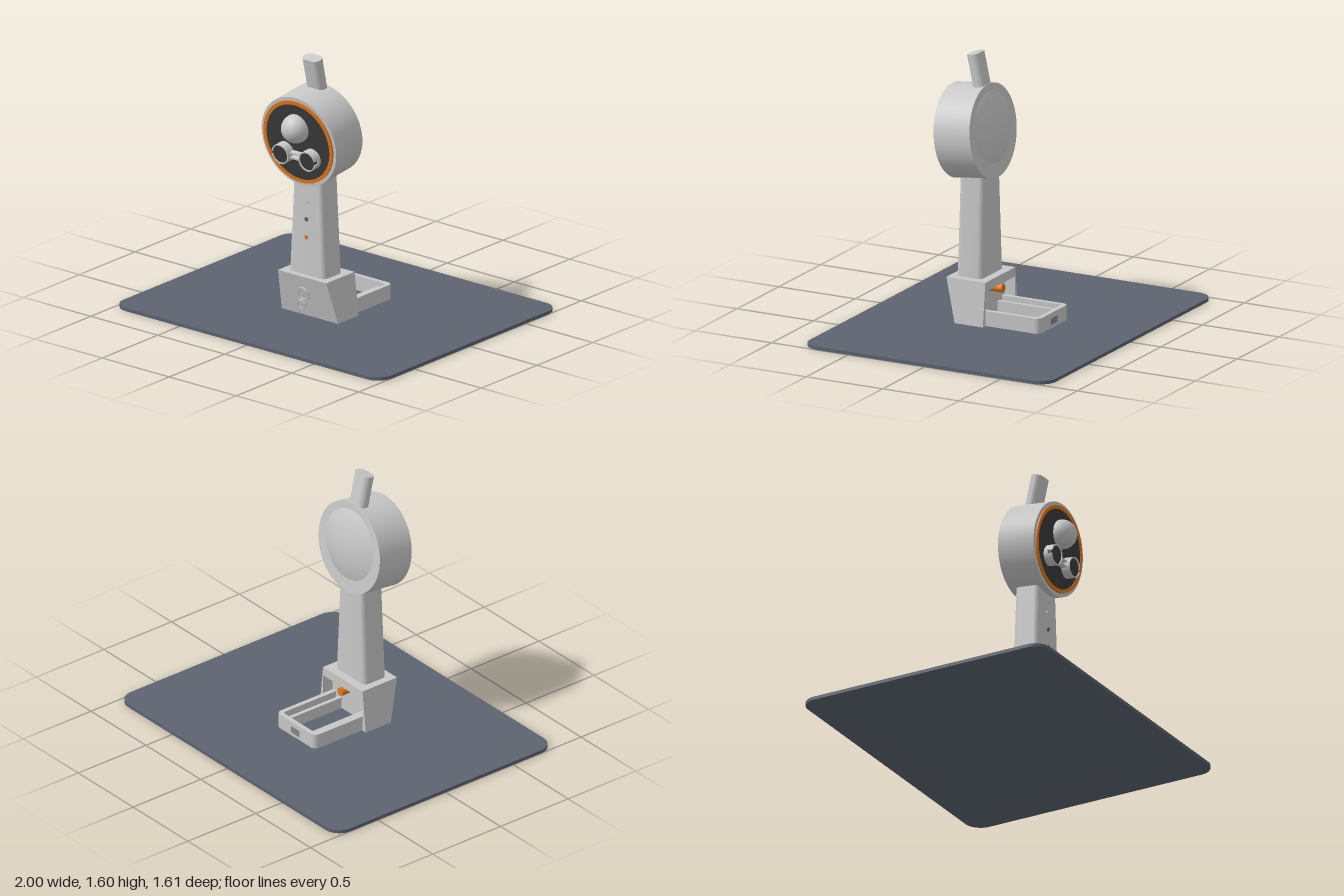
import * as THREE from 'three';
import { toCreasedNormals } from 'three/addons/utils/BufferGeometryUtils.js';

const mat = (name, color, side = THREE.FrontSide) => {
  const m = new THREE.MeshStandardMaterial({ color, side });
  m.name = name;
  return m;
};

// Rounded rectangle centred on (cx, cy)
function roundRect(w, h, r, cx = 0, cy = 0) {
  const s = new THREE.Shape(), x = w / 2 - r, y = h / 2 - r;
  s.absarc(cx + x, cy + y, r, 0, Math.PI / 2);
  s.absarc(cx - x, cy + y, r, Math.PI / 2, Math.PI);
  s.absarc(cx - x, cy - y, r, Math.PI, Math.PI * 1.5);
  s.absarc(cx + x, cy - y, r, Math.PI * 1.5, Math.PI * 2);
  s.closePath();
  return s;
}

const extrude = (shape, depth, steps = 1) => new THREE.ExtrudeGeometry(shape,
  { depth, steps, bevelEnabled: false, curveSegments: 24 });

// Extrude upwards: the shape's y becomes -z
const extrudeUp = (shape, y0, y1) =>
  toCreasedNormals(extrude(shape, y1 - y0).rotateX(-Math.PI / 2).translate(0, y0, 0), 0.5);

// Flat ring, or part of one, facing +z
function ringGeo(outer, inner, depth, gap = 0) {
  const s = new THREE.Shape();
  if (gap) {
    s.absarc(0, 0, outer, gap, Math.PI * 2 - gap, false);
    s.absarc(0, 0, inner, Math.PI * 2 - gap, gap, true);
    s.closePath();
  } else {
    s.absarc(0, 0, outer, 0, Math.PI * 2);
    s.holes.push(new THREE.Path().absarc(0, 0, inner, 0, Math.PI * 2, true));
  }
  return toCreasedNormals(extrude(s, depth), 0.5);
}

// Disc or cylinder along z, starting at z = 0
const discGeo = (r, depth, seg = 64) =>
  new THREE.CylinderGeometry(r, r, depth, seg).rotateX(Math.PI / 2).translate(0, 0, depth / 2);

export function createModel() {
  const root = new THREE.Group();
  const grey = mat('light grey', 0xc8c8c8);
  const slate = mat('slate', 0x5c6370);
  const dark = mat('charcoal', 0x3a3a3a);
  const orange = mat('orange', 0xe0771c);
  const portGrey = mat('port grey', 0x858585);

  const add = (parent, name, geo, material, x = 0, y = 0, z = 0) => {
    const m = new THREE.Mesh(geo, material);
    m.name = name;
    m.position.set(x, y, z);
    parent.add(m);
    return m;
  };

  // Mat
  add(root, 'mat', extrudeUp(roundRect(2, 1.61, 0.1), 0, 0.02), slate);

  // Foot: front block with a leaning face
  const H = 0.28, halfW = (y) => 0.212 - 0.032 * y / H;
  const block = new THREE.BoxGeometry(2, H, 1).translate(0, H / 2, 0);
  const p = block.attributes.position;
  for (let i = 0; i < p.count; i++) {
    const y = p.getY(i);
    p.setX(i, p.getX(i) * halfW(y));
    p.setY(i, Math.max(y, 0.002));
    p.setZ(i, p.getZ(i) > 0 ? 0.23 + 0.075 * y / H : 0.12);
  }
  block.computeVertexNormals();
  add(root, 'footFront', block, grey);

  // Foot: rear arch over the tray
  const arch = new THREE.Shape([
    [-0.212, 0.002], [-0.178, 0.002], [-0.178, 0.225], [0.178, 0.225],
    [0.178, 0.002], [0.212, 0.002], [0.18, H], [-0.18, H],
  ].map(([x, y]) => new THREE.Vector2(x, y)).reverse());
  add(root, 'footArch', extrude(arch, 0.07), grey, 0, 0, 0.05);
  add(root, 'rearKnob', discGeo(0.025, 0.095, 24), orange, 0, 0.203, 0.03);

  // Tray: U-shaped wall with inner rails
  const tray = new THREE.Shape(), r = 0.035;
  tray.moveTo(0.175, -0.12);
  tray.lineTo(0.175, 0.3 - r);
  tray.absarc(0.175 - r, 0.3 - r, r, 0, Math.PI / 2);
  tray.absarc(-0.175 + r, 0.3 - r, r, Math.PI / 2, Math.PI);
  tray.lineTo(-0.175, -0.12);
  tray.lineTo(-0.147, -0.12);
  tray.lineTo(-0.147, 0.26);
  tray.lineTo(-0.135, 0.272);
  tray.lineTo(0.135, 0.272);
  tray.lineTo(0.147, 0.26);
  tray.lineTo(0.147, -0.12);
  tray.closePath();
  add(root, 'trayWall', extrudeUp(tray, 0.002, 0.11), grey);
  for (const s of [-1, 1])
    add(root, 'trayRail', new THREE.BoxGeometry(0.024, 0.088, 0.37), grey, s * 0.108, 0.046, -0.065);
  add(root, 'trayPort', new THREE.BoxGeometry(0.075, 0.04, 0.006), portGrey, 0, 0.06, -0.299);

  // Pillar, tapering upwards
  const pillar = extrude(roundRect(2 * 0.135, 0.165, 0.03), 0.67)
    .rotateX(-Math.PI / 2);
  const q = pillar.attributes.position;
  for (let i = 0; i < q.count; i++) {
    const t = q.getY(i) / 0.59;
    q.setX(i, q.getX(i) * (1 - 0.22 * t));
    q.setZ(i, q.getZ(i) * (1 - 0.06 * t));
  }
  add(root, 'pillar', toCreasedNormals(pillar, 0.5), grey, 0, H, 0.184);

  // Indicator dots
  [[0.725, grey], [0.62, slate], [0.51, orange]].forEach(([y, m]) =>
    add(root, 'indicator', discGeo(0.012, 0.02, 20), m, 0, y, 0.251));

  // Rings standing off the leaning foot face
  [[0.172, 0.297, 0.046, 0.031], [0.112, 0.312, 0.034, 0.021]].forEach(([y, z, ro, ri]) => {
    add(root, 'frontRing', ringGeo(ro, ri, 0.008), grey, 0, y, z - 0.004).rotation.x = 0.26;
  });

  // Head, leaning forwards
  const head = new THREE.Group();
  head.name = 'head';
  head.position.set(0, 1.112, 0.333);
  head.rotation.x = 0.115;
  root.add(head);
  add(head, 'headDrum', discGeo(0.277, 0.237, 96), grey, 0, 0, -0.237);
  add(head, 'orangeRim', ringGeo(0.256, 0.234, 0.01), orange);
  add(head, 'facePlate', discGeo(0.236, 0.007, 96), dark);
  add(head, 'ball', new THREE.SphereGeometry(0.086, 32, 20), grey, 0, 0.09, 0.018);

  // Shallow rear dome
  const rim = 0.215, bulge = 0.04, R = (rim * rim + bulge * bulge) / (2 * bulge);
  const dome = new THREE.SphereGeometry(R, 64, 12, 0, Math.PI * 2, 0, Math.asin(rim / R))
    .translate(0, bulge - R, 0).rotateX(-Math.PI / 2);
  add(head, 'rearDome', dome, grey, 0, 0.02, -0.237);

  // Twin eyepieces, each with a slot on its outer side
  for (const s of [-1, 1]) {
    const eye = new THREE.Group();
    eye.name = 'eyepiece';
    eye.position.set(s * 0.1, -0.08, 0);
    if (s < 0) eye.rotation.z = Math.PI;
    head.add(eye);
    add(eye, 'eyepieceBase', ringGeo(0.061, 0.054, 0.032), grey);
    add(eye, 'eyepieceRim', ringGeo(0.061, 0.054, 0.03, 0.17), grey, 0, 0, 0.032);
    add(eye, 'lens', discGeo(0.0545, 0.055, 40), dark);
    add(head, 'bridgeBar', new THREE.BoxGeometry(0.085, 0.011, 0.035), grey, 0, -0.08 + s * 0.015, 0.024);
  }

  // Flattened stem on top
  const stem = extrudeUp(roundRect(0.124, 0.076, 0.036), -0.25, 0);
  add(root, 'topStem', stem, grey, 0, 1.591, 0.212).rotation.x = 0.22;

  return root;
}
